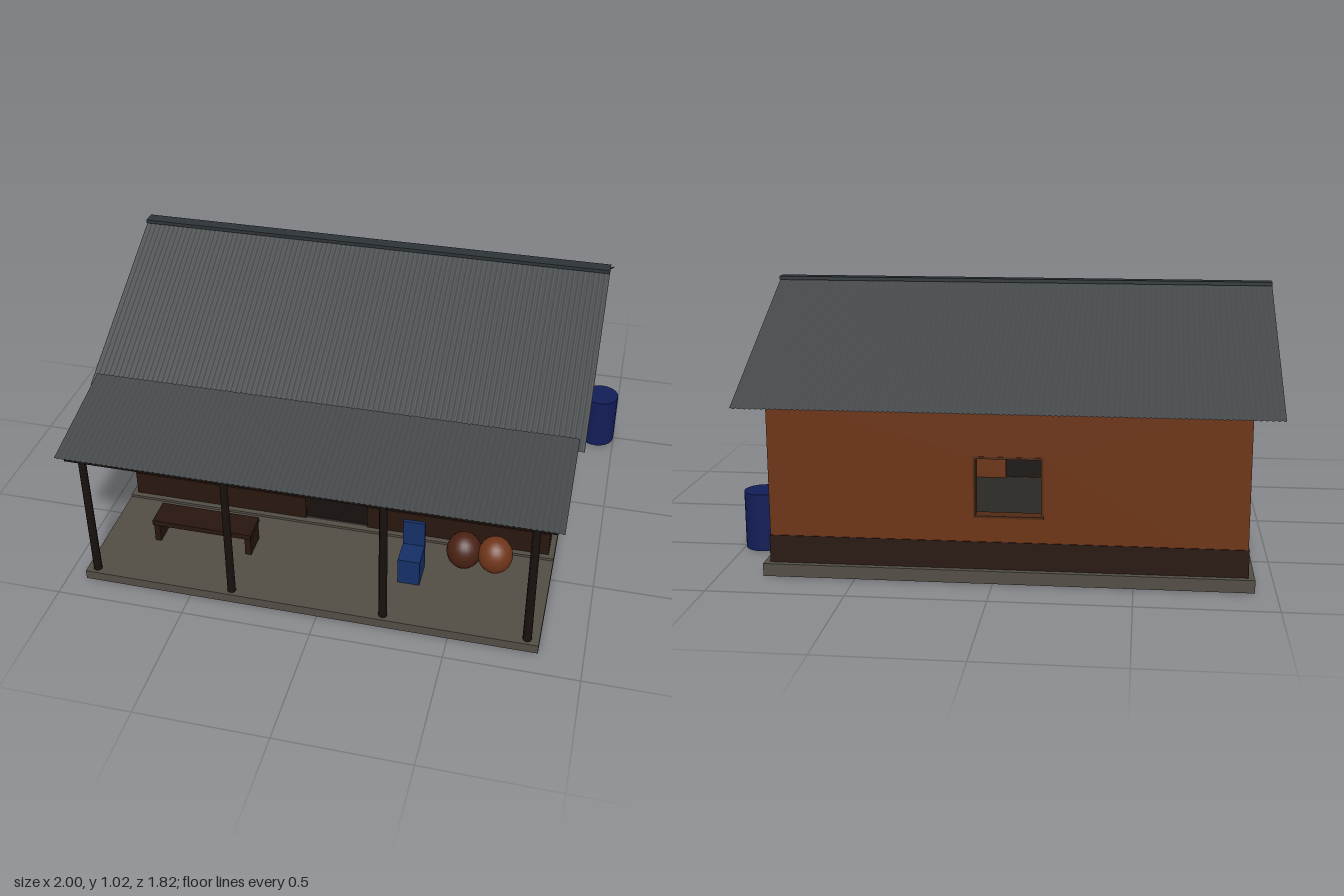
import * as THREE from 'three';

const mat = (color, side = THREE.FrontSide) => new THREE.MeshStandardMaterial({ color, side });
const M = {
  mud: mat(0x6c3312), band: mat(0x28160f), concrete: mat(0x524d45), floor: mat(0x2a2824),
  wood: mat(0x18110e), frame: mat(0x4f2a14), tin: mat(0x45484a, THREE.DoubleSide), ridge: mat(0x2c3337),
  drum: mat(0x121d58), chair: mat(0x153066), potDark: mat(0x4a2213), potLight: mat(0x70361a),
};

// House centre line and wall faces
const CX = -0.045, W = 1.71, FRONT = 0.41, BACK = -0.815, T = 0.05;
const DEPTH = FRONT - BACK, MIDZ = (FRONT + BACK) / 2;
const WALL_Y = 0.036, WALL_TOP = 0.686;

export function createModel() {
  const model = new THREE.Group();

  const add = (name, geo, material, x = 0, y = 0, z = 0, parent = model) => {
    const m = new THREE.Mesh(geo, material);
    m.name = name;
    m.position.set(x, y, z);
    parent.add(m);
    return m;
  };
  // Box given by its limits on each axis
  const box = (name, material, [x0, x1], [y0, y1], [z0, z1], parent = model) =>
    add(name, new THREE.BoxGeometry(x1 - x0, y1 - y0, z1 - z0), material,
      (x0 + x1) / 2, (y0 + y1) / 2, (z0 + z1) / 2, parent);
  const group = (name, parent = model) => {
    const g = new THREE.Group();
    g.name = name;
    parent.add(g);
    return g;
  };
  // Extruded rectangle with rectangular holes, each [x0, x1, y0, y1]
  const rect = (P, [x0, x1, y0, y1]) => {
    const p = new P();
    p.moveTo(x0, y0); p.lineTo(x1, y0); p.lineTo(x1, y1); p.lineTo(x0, y1); p.closePath();
    return p;
  };
  const panel = (outline, holes, depth) => {
    const shape = rect(THREE.Shape, outline);
    holes.forEach(h => shape.holes.push(rect(THREE.Path, h)));
    return new THREE.ExtrudeGeometry(shape, { depth, bevelEnabled: false });
  };

  // Foundations: plinth rim round the walls, raised house floor, porch slab
  const hw = W / 2, hd = DEPTH / 2, rim = 0.025;
  add('plinthRim', panel([-hw - rim, hw + rim, -hd - rim, hd + rim], [[-hw, hw, -hd, hd]], 0.047),
    M.concrete, CX, 0.003, MIDZ).rotation.x = -Math.PI / 2;
  box('houseFloor', M.floor, [CX - hw, CX + hw], [0.035, 0.05], [BACK, FRONT]);
  box('porchFloor', M.concrete, [-0.925, 0.835], [0.003, 0.04], [FRONT + rim, 0.905]);

  // Wall panel with openings; local +z is the outside face
  function wall(name, width, holes, x, z, turn) {
    const g = group(name);
    g.position.set(x, 0, z);
    g.rotation.y = turn;
    add('wallPanel', panel([-width / 2, width / 2, WALL_Y, WALL_TOP], holes, T), M.mud, 0, 0, -T, g);
    return g;
  }

  // Window frame, with louvre slats when closed
  function windowFrame(parent, [x0, x1, y0, y1], slats) {
    const g = group(slats ? 'louvreWindow' : 'openWindow', parent);
    const f = 0.008, z = [-T, 0.002];
    box('frameSill', M.frame, [x0, x1], [y0, y0 + f], z, g);
    box('frameHead', M.frame, [x0, x1], [y1 - f, y1], z, g);
    box('frameSide', M.frame, [x0, x0 + f], [y0, y1], z, g);
    box('frameSide', M.frame, [x1 - f, x1], [y0, y1], z, g);
    for (let i = 0; i < slats; i++) {
      const y = y0 + f + (y1 - y0 - 2 * f) * (i + 0.5) / slats;
      const s = add('slat', new THREE.BoxGeometry(x1 - x0 - 2 * f, 0.005, 0.03), M.wood,
        (x0 + x1) / 2, y, -0.006, g);
      s.rotation.x = 0.7;
    }
  }

  // Four walls: louvres and door in front, open windows at the back and left end
  const louvres = [-1, 1].map(s => [s * 0.515 - 0.123, s * 0.515 + 0.123, 0.25, 0.47]);
  const doorHole = [-0.13, 0.125, 0.05, 0.52], open = [-0.115, 0.135, 0.24, 0.465];
  const frontWall = wall('frontWall', W, [...louvres, doorHole], CX, FRONT, 0);
  louvres.forEach(h => windowFrame(frontWall, h, 6));
  box('door', M.wood, [-0.13, 0.125], [0.05, 0.52], [-0.03, -0.012], frontWall);
  windowFrame(wall('backWall', W, [open], CX, BACK, Math.PI), open, 0);
  const sideW = DEPTH - 2 * T, sideOpen = [-0.125, 0.125, 0.24, 0.465];
  windowFrame(wall('endWallWithWindow', sideW, [sideOpen], CX - hw, MIDZ, -Math.PI / 2), sideOpen, 0);
  wall('plainEndWall', sideW, [], CX + hw, MIDZ, Math.PI / 2);

  // Dark painted band round the foot of the walls, broken at the door
  const e = 0.003, L = CX - hw, R = CX + hw, bandY = [0.05, 0.152];
  box('baseBand', M.band, [L - e, CX - 0.13], bandY, [FRONT - 0.01, FRONT + e]);
  box('baseBand', M.band, [CX + 0.125, R + e], bandY, [FRONT - 0.01, FRONT + e]);
  box('baseBand', M.band, [L - e, R + e], bandY, [BACK - e, BACK + 0.01]);
  box('baseBand', M.band, [L - e, L + 0.01], bandY, [BACK, FRONT]);
  box('baseBand', M.band, [R - 0.01, R + e], bandY, [BACK, FRONT]);

  // Corrugated sheet between a low edge and a high edge, each [y, z]
  function sheet(name, width, [yLow, zLow], [yHigh, zHigh]) {
    const waves = Math.round(width / 0.02), len = Math.hypot(yHigh - yLow, zHigh - zLow);
    const geo = new THREE.PlaneGeometry(width, len, waves * 6, 1);
    const p = geo.attributes.position;
    for (let i = 0; i < p.count; i++) {
      const u = p.getX(i) / width + 0.5;
      p.setZ(i, 0.0025 * Math.sin(u * waves * Math.PI * 2));
    }
    geo.computeVertexNormals();
    const m = add(name, geo, M.tin, CX, (yLow + yHigh) / 2, (zLow + zHigh) / 2);
    m.rotation.x = -Math.atan2(zLow - zHigh, yHigh - yLow);
  }
  sheet('frontRoof', 1.91, [0.64, 0.51], [1.01, -0.2]);
  sheet('backRoof', 1.91, [0.64, -0.91], [1.01, -0.2]);
  sheet('porchRoof', 1.865, [0.582, 0.91], [0.68, 0.485]);
  box('ridgeCap', M.ridge, [-1, 0.91], [1.003, 1.017], [-0.226, -0.174]);

  // Porch posts and beam
  [-0.885, -0.34, 0.25, 0.79].forEach(x =>
    add('porchPost', new THREE.CylinderGeometry(0.015, 0.017, 0.57, 8), M.wood, x, 0.285, 0.877));
  box('porchBeam', M.wood, [-0.95, 0.86], [0.557, 0.581], [0.865, 0.889]);

  // Bench on two end boards
  const bench = group('bench');
  box('benchSeat', M.band, [-0.73, -0.325], [0.12, 0.142], [0.56, 0.675], bench);
  [-0.715, -0.34].forEach(x =>
    box('benchLeg', M.band, [x - 0.012, x + 0.012], [0.04, 0.12], [0.565, 0.67], bench));

  // Chair
  const chair = group('chair');
  box('chairSeat', M.chair, [0.265, 0.35], [0.04, 0.152], [0.59, 0.69], chair);
  box('chairBack', M.chair, [0.265, 0.35], [0.04, 0.262], [0.578, 0.592], chair);

  // Clay pots
  [[0.495, M.potDark], [0.617, M.potLight]].forEach(([x, m]) =>
    add('clayPot', new THREE.SphereGeometry(0.068, 20, 14), m, x, 0.116, 0.535).scale.y = 1.12);

  // Water drum
  add('waterDrum', new THREE.CylinderGeometry(0.074, 0.074, 0.224, 20), M.drum, 0.926, 0.112, -0.497);

  return model;
}
